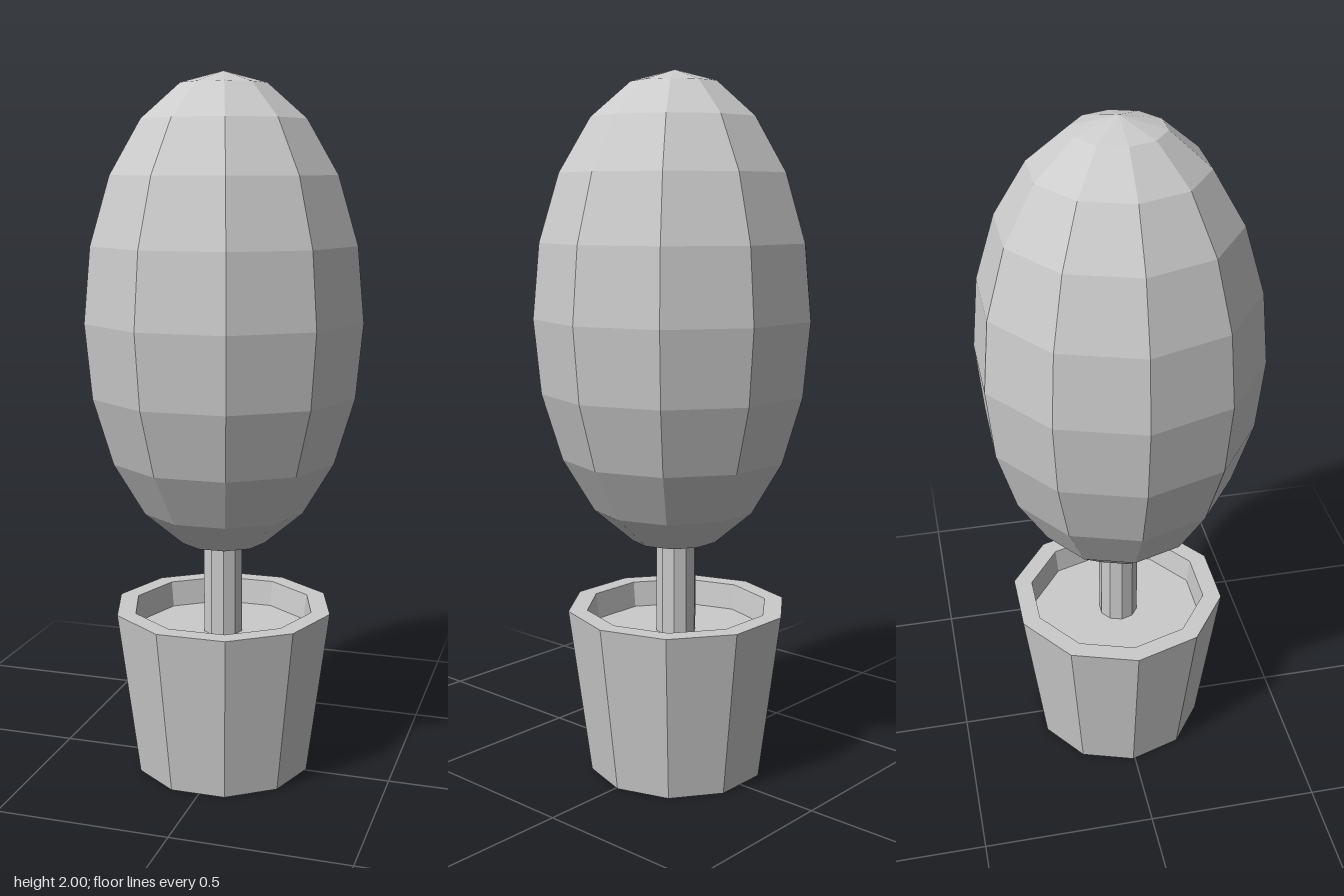
import * as THREE from 'three';

const SIDES = 10;

export function createModel() {
  const group = new THREE.Group();
  const material = new THREE.MeshStandardMaterial({ color: 0xcccccc, flatShading: true });

  function add(name, geometry, x, y, z) {
    const mesh = new THREE.Mesh(geometry, material);
    mesh.name = name;
    mesh.position.set(x, y, z);
    group.add(mesh);
    return mesh;
  }

  // Lathe turned so that a corner lies on the x axis
  function turned(points) {
    const profile = points.map(([r, y]) => new THREE.Vector2(r, y));
    return new THREE.LatheGeometry(profile, SIDES).rotateY(Math.PI / 2);
  }

  // Tapered pot: base, outer wall, rim, inner wall, soil
  add('pot', turned([
    [0, 0], [0.256, 0], [0.32, 0.485], [0.265, 0.485], [0.255, 0.41], [0, 0.41],
  ]), -0.003, 0, -0.006);

  // Trunk, from the soil into the foliage
  const trunk = new THREE.CylinderGeometry(0.058, 0.058, 0.31, SIDES).rotateY(Math.PI / 2);
  add('trunk', trunk, -0.002, 0.555, -0.002);

  // Egg-shaped foliage
  const foliage = new THREE.SphereGeometry(0.4, SIDES, 10).scale(1, 0.675 / 0.4, 1);
  add('foliage', foliage, 0, 1.325, 0);

  return group;
}
